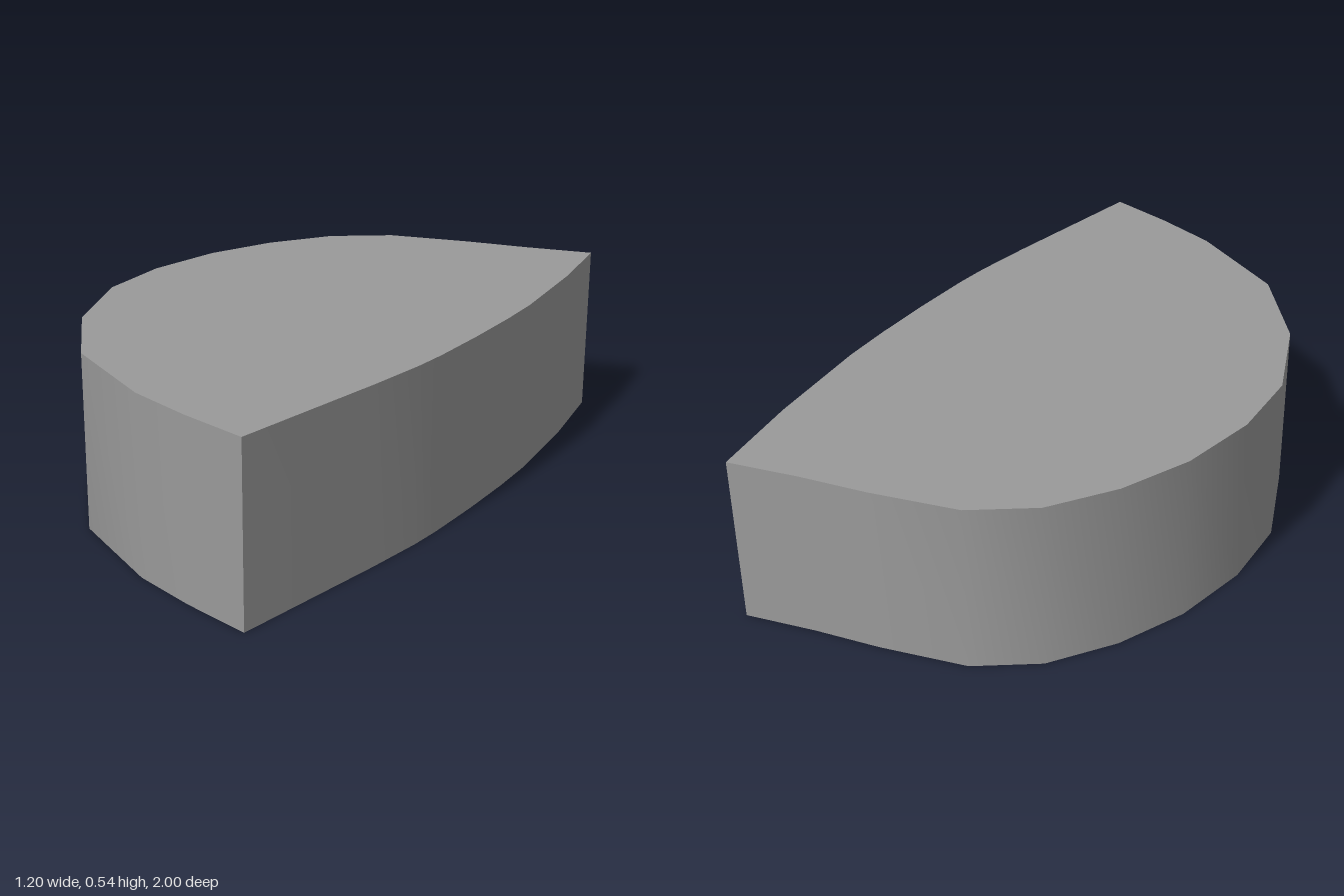
import * as THREE from 'three';
import { toCreasedNormals } from 'three/addons/utils/BufferGeometryUtils.js';

const HEIGHT = 0.535;

// Plan outline as [x, z]: gently bowed right side, then the rounded left side
const OUTLINE = [
  [0.492, -1], [0.545, -0.71], [0.587, -0.36], [0.595, -0.2], [0.598, 0], [0.595, 0.2], [0.588, 0.31],
  [0.565, 0.5], [0.492, 1],
  [0.28, 0.957], [0.08, 0.902], [-0.245, 0.74], [-0.458, 0.49], [-0.582, 0.205],
  [-0.6, -0.04], [-0.56, -0.29], [-0.475, -0.505], [-0.35, -0.695], [-0.18, -0.822],
  [0.08, -0.897], [0.28, -0.942],
];

export function createModel() {
  const group = new THREE.Group();
  group.name = 'halfRoundBlock';

  // Extrude the plan upwards; shape y becomes -z when laid flat
  const shape = new THREE.Shape(OUTLINE.map(([x, z]) => new THREE.Vector2(x, -z)));
  const geometry = new THREE.ExtrudeGeometry(shape, { depth: HEIGHT, bevelEnabled: false });
  geometry.rotateX(-Math.PI / 2);

  const block = new THREE.Mesh(
    toCreasedNormals(geometry, 0.6),
    new THREE.MeshStandardMaterial({ color: 0x9a9a9a }),
  );
  block.name = 'block';
  group.add(block);
  return group;
}
